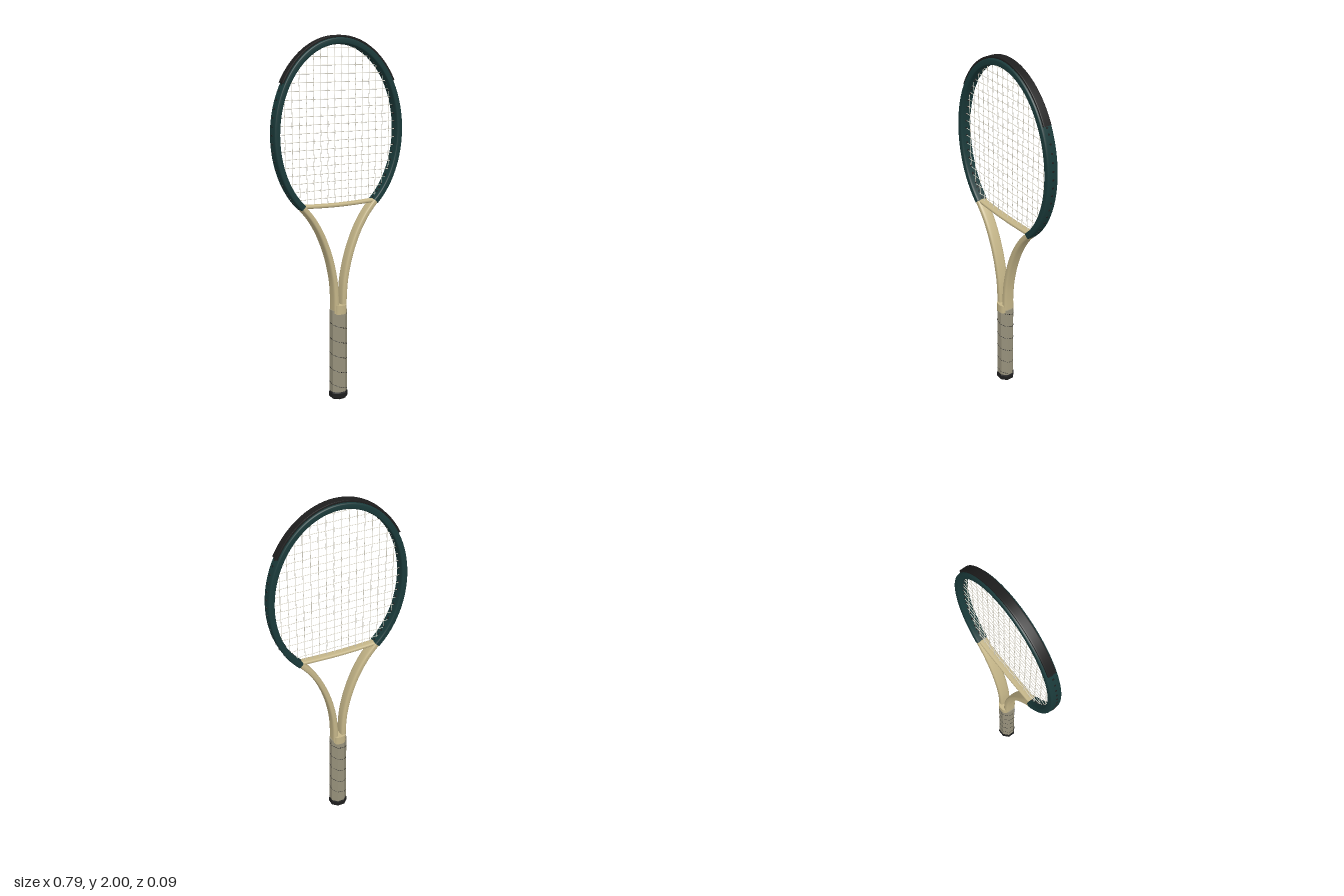
import * as THREE from 'three';
import { mergeGeometries } from 'three/addons/utils/BufferGeometryUtils.js';

const mat = (name, color, extra = {}) => new THREE.MeshStandardMaterial({ name, color, ...extra });

// Sweep a rounded-rectangle section along a path in the xy plane.
function sweep(path, halfW, halfD, power = 4, sides = 24) {
  const pos = [], index = [], n = path.length;
  const soft = (v) => Math.sign(v) * Math.abs(v) ** (2 / power);
  path.forEach((p, i) => {
    const t = path[Math.min(i + 1, n - 1)].clone().sub(path[Math.max(i - 1, 0)]).normalize();
    for (let j = 0; j < sides; j++) {
      const a = (j / sides) * Math.PI * 2;
      const u = halfW * soft(Math.cos(a));
      pos.push(p.x + t.y * u, p.y - t.x * u, halfD * soft(Math.sin(a)));
    }
  });
  for (let i = 0; i < n - 1; i++) {
    for (let j = 0; j < sides; j++) {
      const k = (j + 1) % sides, a = i * sides, b = a + sides;
      index.push(a + j, b + j, a + k, b + j, b + k, a + k);
    }
  }
  // End caps with their own vertices so the rim stays sharp
  for (const i of [0, n - 1]) {
    const base = pos.length / 3;
    pos.push(path[i].x, path[i].y, 0);
    pos.push(...pos.slice(i * sides * 3, (i + 1) * sides * 3));
    for (let j = 0; j < sides; j++) {
      const a = base + 1 + j, b = base + 1 + ((j + 1) % sides);
      index.push(base, i ? b : a, i ? a : b);
    }
  }
  const g = new THREE.BufferGeometry();
  g.setAttribute('position', new THREE.Float32BufferAttribute(pos, 3));
  g.setIndex(index);
  g.computeVertexNormals();
  return g;
}

const CY = 1.49;
const arc = (a, b, from, to, n) => Array.from({ length: n + 1 }, (_, i) => {
  const t = from + ((to - from) * i) / n;
  return new THREE.Vector2(a * Math.cos(t), CY + b * Math.sin(t));
});
const smoothPath = (pts, n) =>
  new THREE.SplineCurve(pts.map(([x, y]) => new THREE.Vector2(x, y))).getPoints(n);

export function createModel() {
  const root = new THREE.Group();
  root.name = 'tennisRacket';
  const green = mat('frame green', 0x1a3a3a);
  const beige = mat('throat beige', 0xc4b588);
  const black = mat('trim black', 0x1e1e1e);
  const gripMat = mat('grip taupe', 0x98927c, { flatShading: true });
  const capMat = mat('butt cap black', 0x1e1e1e, { flatShading: true });
  const stringMat = mat('string off-white', 0xe6e2d4);
  const add = (name, geo, material, parent = root) => {
    const m = new THREE.Mesh(geo, material);
    m.name = name;
    parent.add(m);
    return m;
  };
  const group = (name) => {
    const g = new THREE.Group();
    g.name = name;
    root.add(g);
    return g;
  };

  // Head hoop and bumper guard over its top
  const A = 0.374, B = 0.481, low = 0.927;
  add('hoop', sweep(arc(A, B, -low, Math.PI + low, 96), 0.0175, 0.0325, 5), green);
  add('bumperGuard', sweep(arc(0.396, 0.504, 0.565, Math.PI - 0.565, 48), 0.006, 0.023, 8), black);

  // Throat arms and the bridge between them
  const arm = [[0.224, 1.106], [0.165, 1.035], [0.11, 0.94], [0.064, 0.82], [0.036, 0.7], [0.026, 0.6], [0.024, 0.5]];
  for (const s of [1, -1]) {
    add(s > 0 ? 'leftThroatArm' : 'rightThroatArm',
      sweep(smoothPath(arm.map(([x, y]) => [x * s, y]), 40), 0.0165, 0.032, 3.5), beige);
  }
  add('throatBridge', sweep(smoothPath([[-0.222, 1.109], [-0.11, 1.104], [0, 1.102], [0.11, 1.104], [0.222, 1.109]], 24), 0.0105, 0.022, 3), beige);

  // Collar, octagonal grip and butt cap
  add('collar', sweep([new THREE.Vector2(0, 0.495), new THREE.Vector2(0, 0.545)], 0.037, 0.046, 3), beige);
  const gx = 0.046, gz = 0.043, toCorner = 1 / Math.cos(Math.PI / 8);
  const grip = new THREE.CylinderGeometry(toCorner, toCorner, 0.475, 8);
  grip.rotateY(Math.PI / 8).scale(gx, 1, gz).translate(0, 0.2775, 0);
  add('grip', grip, gripMat);
  const capProfile = [[0, 0], [0.88, 0], [1.07, 0.009], [1.07, 0.034], [1, 0.042], [0, 0.042]]
    .map(([r, y]) => new THREE.Vector2(r * toCorner, y));
  const cap = new THREE.LatheGeometry(capProfile, 8);
  cap.rotateY(Math.PI / 8).scale(gx, 1, gz);
  add('buttCap', cap, capMat);

  // Stitched spiral seam of the grip wrap, following the octagon
  const perTurn = 24, stitches = [];
  const seamPoint = (i) => {
    const phi = (i / perTurn) * Math.PI * 2;
    const r = 1 / Math.cos(((phi + Math.PI / 8) % (Math.PI / 4)) - Math.PI / 8);
    return new THREE.Vector3(gx * r * Math.sin(phi), 0.505 - (0.087 * i) / perTurn, gz * r * Math.cos(phi));
  };
  for (let i = 0; i < 5.2 * perTurn; i++) {
    const stitch = new THREE.LineCurve3(seamPoint(i + 0.15), seamPoint(i + 0.85));
    stitches.push(new THREE.TubeGeometry(stitch, 1, 0.002, 6));
  }
  add('gripSeam', mergeGeometries(stitches), black);

  // Woven string bed, with a grommet wherever a string meets the hoop
  const strings = group('strings'), grommets = group('grommets');
  const R = 0.0017, dx = 0.0424, dy = 0.0438, y0 = 1.145, crosses = 19, mains = 16;
  const mainX = (i) => (i - (mains - 1) / 2) * dx;
  const crossY = (j) => y0 + j * dy;
  const barrel = new THREE.CylinderGeometry(0.0055, 0.0055, 0.04, 8);
  const grommet = (x, y) => {
    const m = add('grommet', barrel, black, grommets);
    m.position.set(x, y, 0);
    m.rotation.z = Math.atan2((y - CY) / (B * B), x / (A * A)) - Math.PI / 2;
  };
  const stringTube = (pts, name) => add(name,
    new THREE.TubeGeometry(new THREE.CatmullRomCurve3(pts), pts.length * 2, R, 6), stringMat, strings);

  for (let i = 0; i < mains; i++) {
    const x = mainX(i), h = B * Math.sqrt(1 - (x / A) ** 2);
    const bottom = Math.max(1.105, CY - h), top = CY + h;
    const pts = [new THREE.Vector3(x, bottom, 0)];
    for (let j = 0; j < crosses; j++) {
      const y = crossY(j);
      if (y > bottom + 0.01 && y < top - 0.01) pts.push(new THREE.Vector3(x, y, (i + j) % 2 ? R : -R));
    }
    pts.push(new THREE.Vector3(x, top, 0));
    stringTube(pts, 'mainString');
    grommet(x, top);
    if (bottom > 1.105) grommet(x, bottom);
  }
  for (let j = 0; j < crosses; j++) {
    const y = crossY(j), w = A * Math.sqrt(1 - ((y - CY) / B) ** 2);
    const pts = [new THREE.Vector3(-w, y, 0)];
    for (let i = 0; i < mains; i++) {
      const x = mainX(i);
      if (Math.abs(x) < w - 0.01) pts.push(new THREE.Vector3(x, y, (i + j) % 2 ? -R : R));
    }
    pts.push(new THREE.Vector3(w, y, 0));
    stringTube(pts, 'crossString');
    grommet(-w, y);
    grommet(w, y);
  }
  return root;
}
